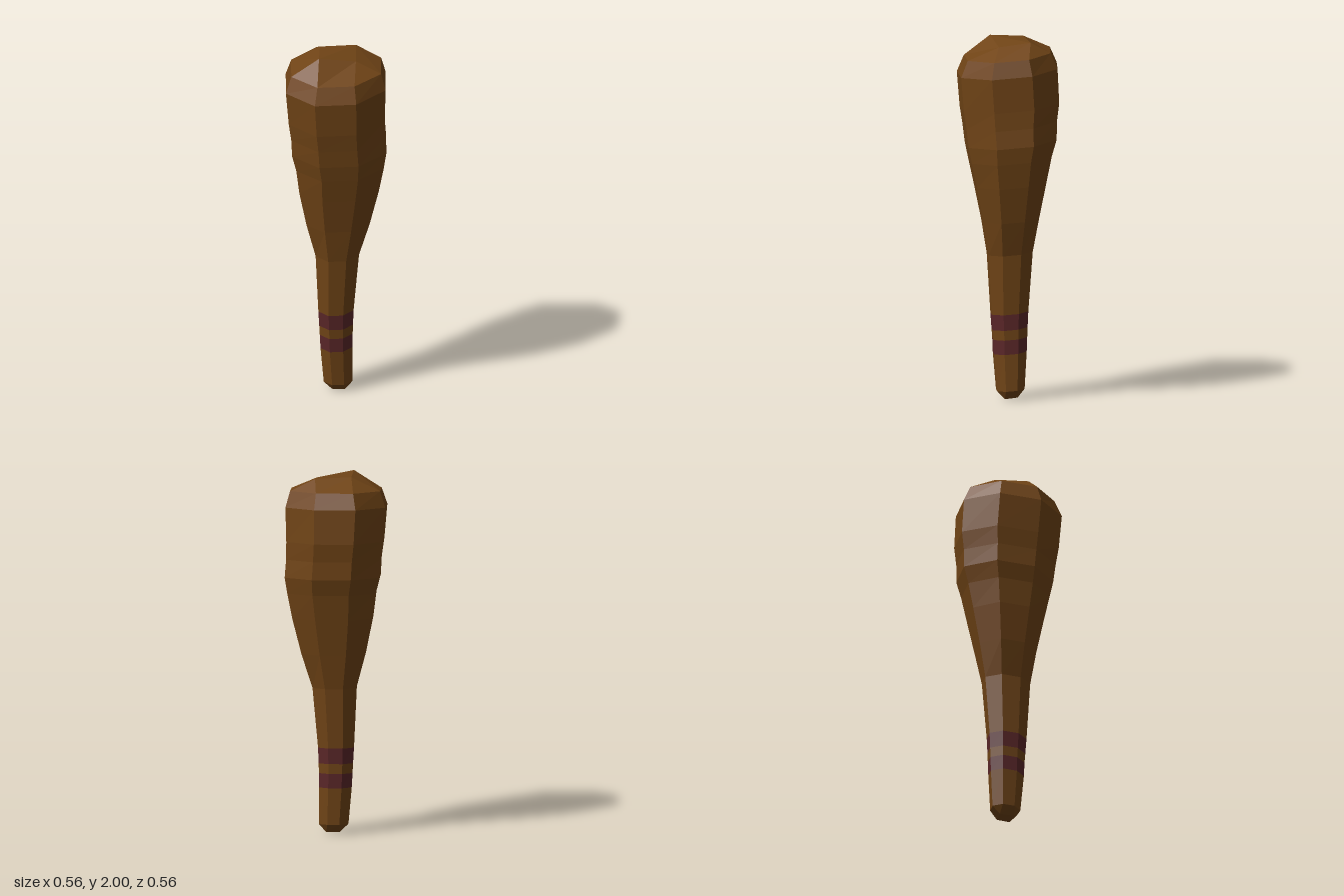
import * as THREE from 'three';

// Slightly uneven octagon, as fractions of the half width and half depth
const OCTAGON = [
  [1, -0.45], [0.98, 0.36], [0.38, 0.95], [-0.44, 1],
  [-1, 0.45], [-0.98, -0.39], [-0.4, -1], [0.42, -0.98],
];
const TILT = -0.09; // rings sit a little higher at the back

// One cross-section: height, x range, z range
function ring([y, x0, x1, z0, z1]) {
  const cx = (x0 + x1) / 2, cz = (z0 + z1) / 2;
  const hx = (x1 - x0) / 2, hz = (z1 - z0) / 2;
  return OCTAGON.map(([u, v]) => {
    const z = cz + v * hz;
    return [cx + u * hx, y + TILT * z, z];
  });
}

// Four corners, each doubled, so the octagon closes into a small quad
const quadRing = (corners) => corners.flatMap((c) => [c, c]);

// Skin a stack of rings, optionally closing its ends
function loft(name, rings, color, capBottom = false, capTop = false) {
  const pos = [];
  const tri = (a, b, c) => {
    const same = (p, q) => p.every((v, i) => v === q[i]);
    if (same(a, b) || same(b, c) || same(a, c)) return;
    pos.push(...a, ...b, ...c);
  };
  for (let r = 0; r < rings.length - 1; r++) {
    for (let i = 0; i < 8; i++) {
      const j = (i + 1) % 8, lo = rings[r], hi = rings[r + 1];
      tri(lo[i], hi[i], lo[j]);
      tri(lo[j], hi[i], hi[j]);
    }
  }
  const first = rings[0], last = rings[rings.length - 1];
  for (let i = 1; i < 7; i++) {
    if (capBottom) tri(first[0], first[i], first[i + 1]);
    if (capTop) tri(last[0], last[i + 1], last[i]);
  }
  const geo = new THREE.BufferGeometry();
  geo.setAttribute('position', new THREE.Float32BufferAttribute(pos, 3));
  geo.computeVertexNormals();
  const mesh = new THREE.Mesh(geo, new THREE.MeshStandardMaterial({ color, flatShading: true }));
  mesh.name = name;
  return mesh;
}

export function createModel() {
  const group = new THREE.Group();
  group.name = 'woodenClub';
  const wood = 0x704416, wrap = 0x5a2628;

  // Shared rings along the grip
  const gripEnd = ring([0.05, -0.07, 0.09, -0.085, 0.07]);
  const lowA = ring([0.255, -0.088, 0.09, -0.097, 0.087]);
  const lowB = ring([0.335, -0.092, 0.09, -0.1, 0.09]);
  const highA = ring([0.39, -0.095, 0.092, -0.102, 0.094]);
  const highB = ring([0.477, -0.1, 0.095, -0.106, 0.1]);

  // Rounded-off butt, ending in a small quad
  const butt = quadRing([
    [0.055, 0.005, 0.0], [0.035, 0.0, 0.035], [-0.025, 0.01, 0.005], [0.0, 0.012, -0.045],
  ]);
  butt.splice(0, 8, ...quadRing([
    [0.045, 0.0, 0.025], [-0.025, 0.008, 0.035], [-0.025, 0.012, -0.045], [0.05, 0.01, -0.045],
  ]));
  // Doubled corners start at the octagon's second vertex
  const aligned = (q) => [q[7], ...q.slice(0, 7)];

  group.add(loft('gripEnd', [aligned(butt), gripEnd, lowA], wood, true));
  group.add(loft('lowerBand', [lowA, lowB], wrap));
  group.add(loft('gripGap', [lowB, highA], wood));
  group.add(loft('upperBand', [highA, highB], wrap));

  // Flaring body and lumpy head
  const body = [
    [0.81, -0.115, 0.125, -0.13, 0.12],
    [1.0, -0.165, 0.185, -0.165, 0.15],
    [1.2, -0.205, 0.235, -0.205, 0.19],
    [1.34, -0.222, 0.262, -0.233, 0.22],
    [1.43, -0.245, 0.276, -0.26, 0.238],
    [1.53, -0.25, 0.268, -0.262, 0.25],
    [1.63, -0.264, 0.267, -0.275, 0.265],
    [1.82, -0.28, 0.272, -0.266, 0.28],
    [1.91, -0.25, 0.247, -0.228, 0.242],
  ].map(ring);

  // Crown quad on top of the head
  const crown = aligned(quadRing([
    [0.105, 1.965, 0.06], [-0.098, 2.0, 0.1], [-0.088, 1.995, -0.083], [0.11, 1.99, -0.113],
  ]));
  group.add(loft('clubHead', [highB, ...body, crown], wood, false, true));
  return group;
}
